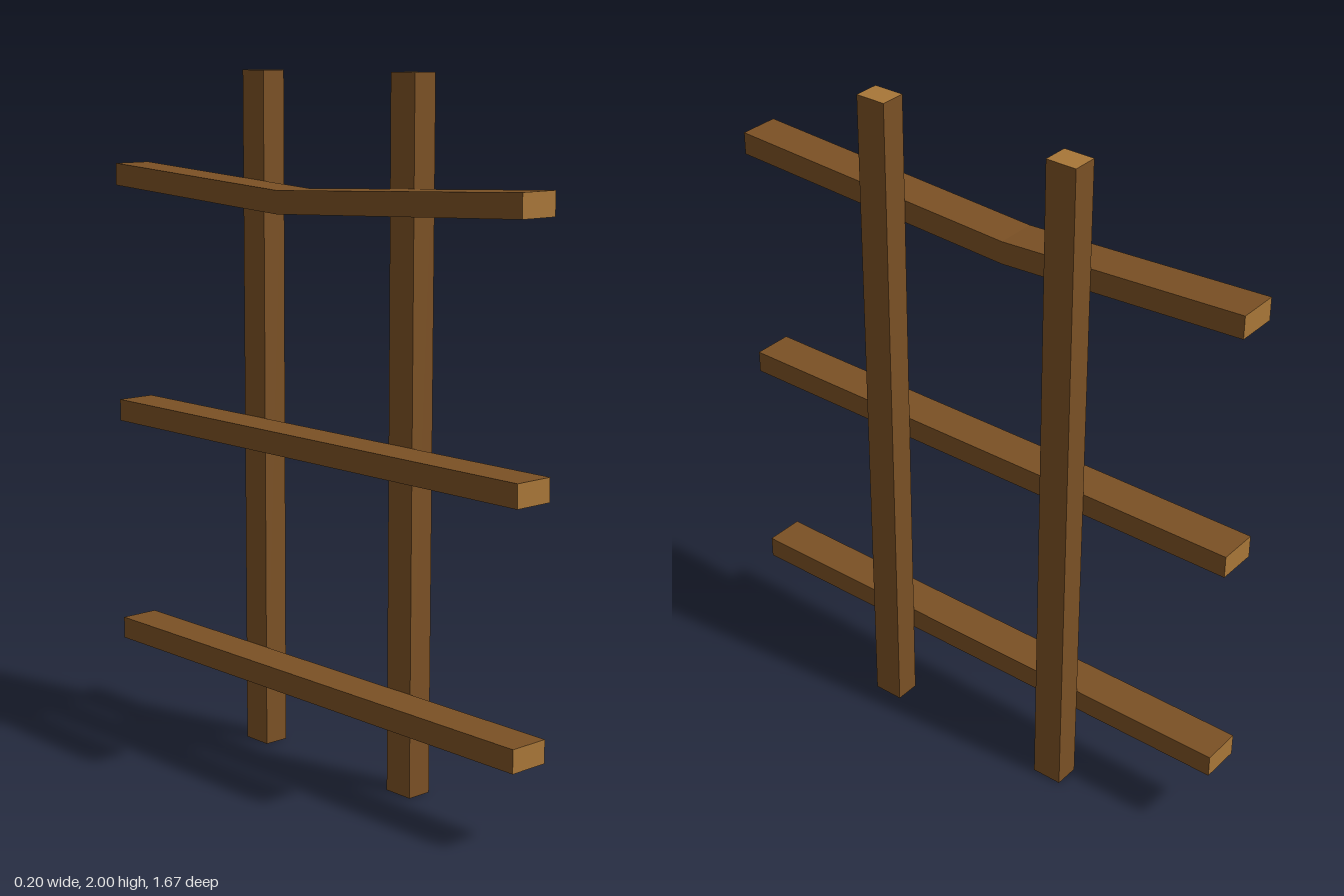
import * as THREE from 'three';

const bark = new THREE.MeshStandardMaterial({ color: 0x7a5024 });
bark.name = 'brown wood';
const endGrain = new THREE.MeshStandardMaterial({ color: 0xa87638 });
endGrain.name = 'pale end grain';

// Face order of a box: +x, -x, +y, -y, +z, -z
const postMaterials = [bark, bark, endGrain, endGrain, bark, bark];
const railMaterials = [bark, bark, bark, bark, endGrain, endGrain];

const RAIL = { width: 0.12, height: 0.066, length: 1.67, x: -0.038 };

// Straight rail, or one kinked downwards near its middle
function railGeometry(sag = 0, kinkZ = 0) {
  const box = new THREE.BoxGeometry(RAIL.width, RAIL.height, RAIL.length, 1, 1, sag ? 2 : 1);
  if (!sag) return box;
  const p = box.attributes.position;
  for (let i = 0; i < p.count; i++) {
    if (Math.abs(p.getZ(i)) < 0.01) {
      p.setY(i, p.getY(i) - sag);
      p.setZ(i, kinkZ);
    }
  }
  const flat = box.toNonIndexed();
  flat.computeVertexNormals();
  return flat;
}

export function createModel() {
  const fence = new THREE.Group();
  fence.name = 'fence';

  // Two upright posts
  for (const [name, z] of [['frontPost', 0.287], ['backPost', -0.33]]) {
    const post = new THREE.Mesh(new THREE.BoxGeometry(0.076, 2, 0.092), postMaterials);
    post.name = name;
    post.position.set(0.06, 1, z);
    fence.add(post);
  }

  // Three rails fixed to the posts, the top one sagging
  for (const [name, y, sag] of [['lowerRail', 0.269, 0], ['middleRail', 0.963, 0], ['saggingTopRail', 1.686, 0.043]]) {
    const rail = new THREE.Mesh(railGeometry(sag, -0.09), railMaterials);
    rail.name = name;
    rail.position.set(RAIL.x, y, 0);
    fence.add(rail);
  }
  return fence;
}
